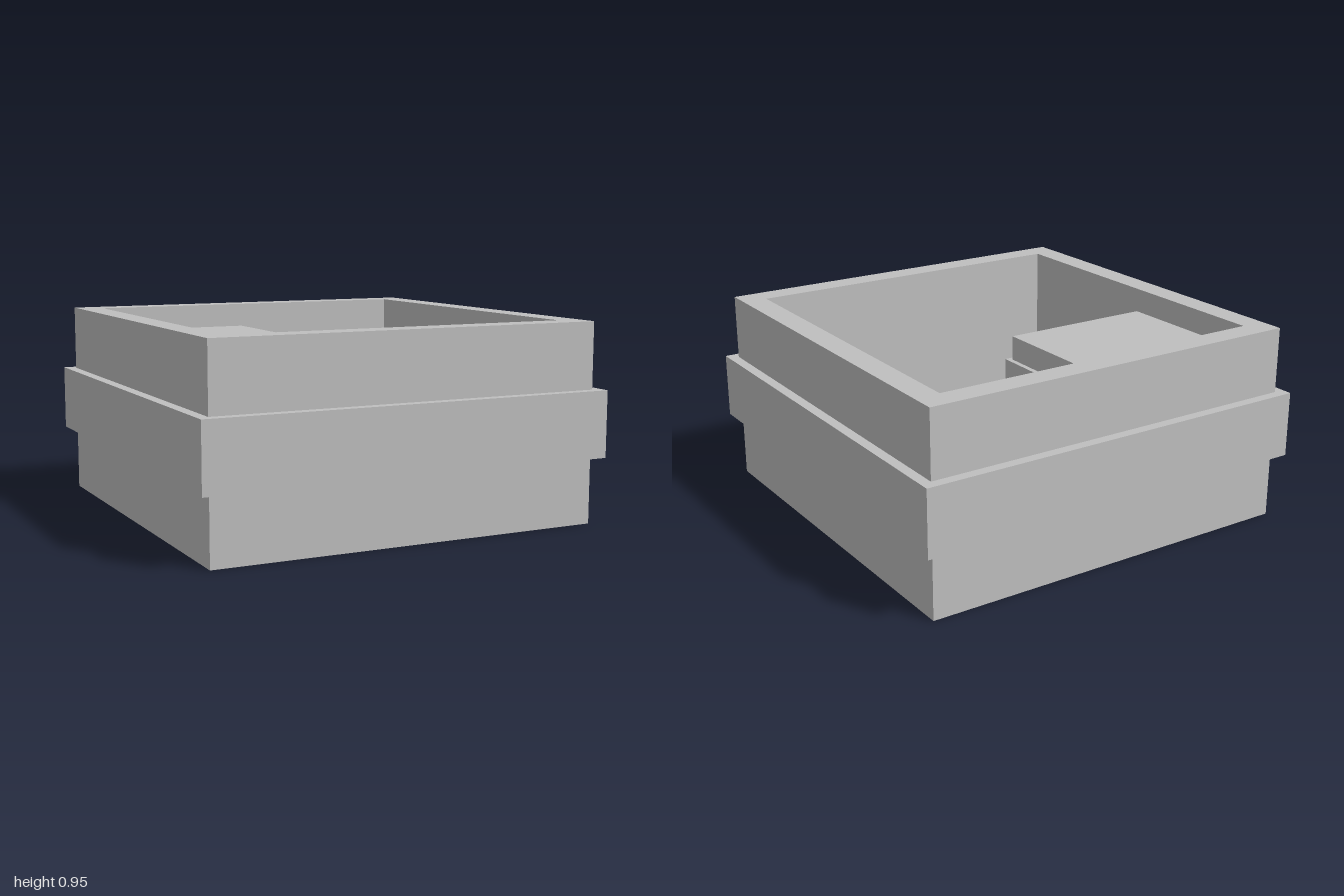
import * as THREE from 'three';

const UNIT = 0.95 / 8; // wall thickness; the box is 8 units high and 16 wide

// Upright square frame between two heights
function frame(name, outer, inner, y0, y1, material) {
  const square = (h, Type) => new Type([
    new THREE.Vector2(-h, -h), new THREE.Vector2(h, -h),
    new THREE.Vector2(h, h), new THREE.Vector2(-h, h),
  ]);
  const shape = square(outer, THREE.Shape);
  shape.holes.push(square(inner, THREE.Path));
  const geometry = new THREE.ExtrudeGeometry(shape, { depth: y1 - y0, bevelEnabled: false });
  geometry.rotateX(-Math.PI / 2).translate(0, y0, 0);
  const mesh = new THREE.Mesh(geometry, material);
  mesh.name = name;
  return mesh;
}

// Square block with its back corner at (from, from)
function block(name, from, to, y0, y1, material) {
  const size = to - from, mid = (from + to) / 2;
  const mesh = new THREE.Mesh(new THREE.BoxGeometry(size, y1 - y0, size), material);
  mesh.position.set(mid, (y0 + y1) / 2, mid);
  mesh.name = name;
  return mesh;
}

export function createModel() {
  const grey = new THREE.MeshStandardMaterial({ color: 0xbfbfbf });
  grey.name = 'grey';
  const half = 8 * UNIT, inside = 7 * UNIT, height = 8 * UNIT;

  const group = new THREE.Group();
  group.name = 'openBox';
  group.add(
    // Open container with a band around its middle third
    block('floor', -half, half, 0, UNIT, grey),
    frame('walls', half, inside, UNIT, height, grey),
    frame('band', 1, half, height / 3, height * 2 / 3, grey),
    // Block in the back corner with a slightly smaller lid
    block('cornerBlock', -inside, -0.03, UNIT, 6 * UNIT, grey),
    block('cornerLid', -inside, -0.055, 6 * UNIT, 7 * UNIT, grey),
  );
  return group;
}
